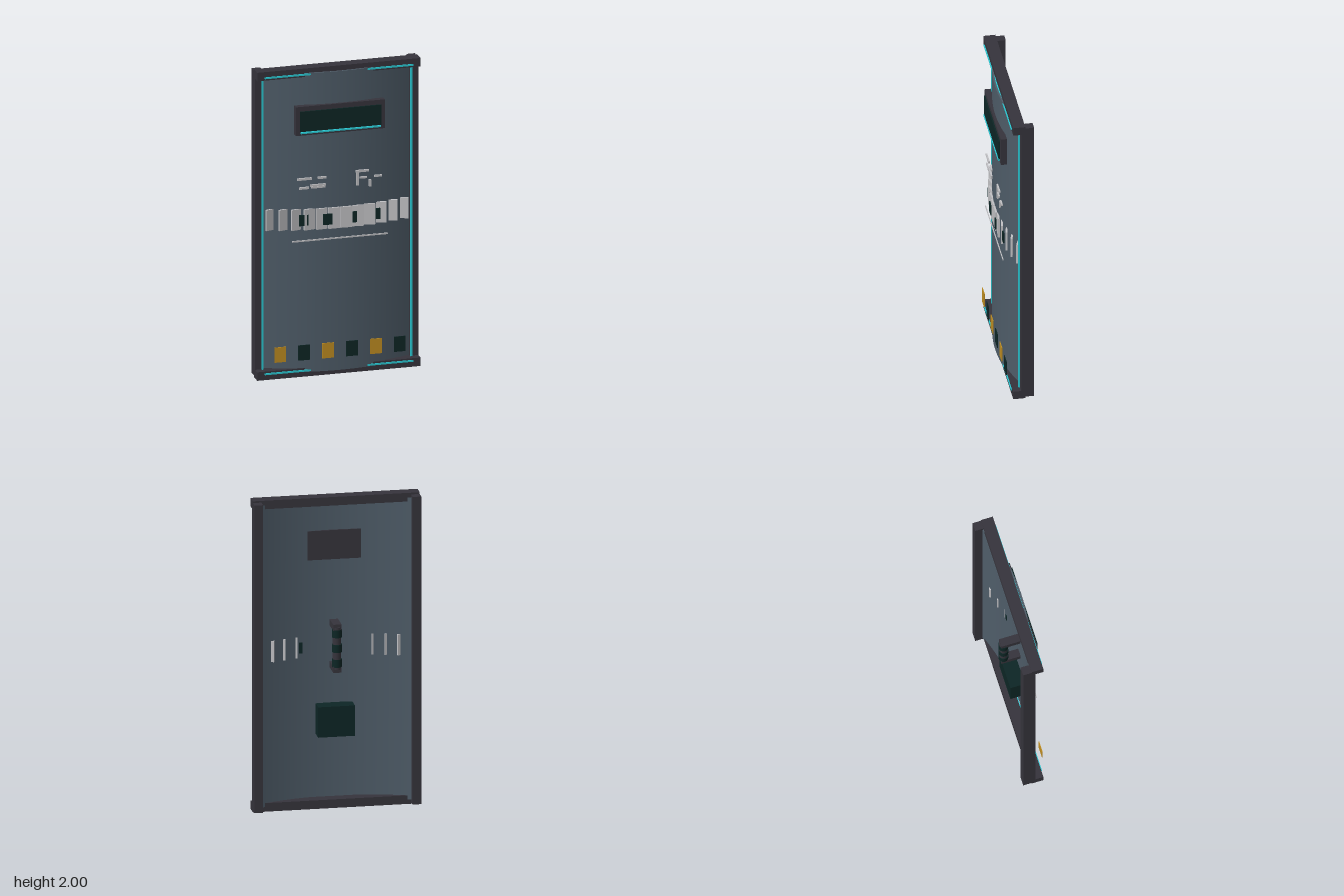
import * as THREE from 'three';

const paint = (name, color) => {
  const m = new THREE.MeshStandardMaterial({ color });
  m.name = name;
  return m;
};

export function createModel() {
  const root = new THREE.Group();
  root.name = 'shield';
  const slate = paint('slate', 0x4f5d69);
  const charcoal = paint('charcoal', 0x36343c);
  const darkGreen = paint('dark green', 0x0d2625);
  const cyan = paint('cyan', 0x2acbd6);
  const pale = paint('pale grey', 0xc2c2c5);
  const amber = paint('amber', 0xc08e22);

  const add = (name, geo, mat, x = 0, y = 0, z = 0) => {
    const mesh = new THREE.Mesh(geo, mat);
    mesh.name = name;
    mesh.position.set(x, y, z);
    root.add(mesh);
    return mesh;
  };
  // Box given by its extents on each axis
  const slab = (name, mat, [x0, x1], [y0, y1], [z0, z1]) =>
    add(name, new THREE.BoxGeometry(x1 - x0, y1 - y0, z1 - z0), mat,
      (x0 + x1) / 2, (y0 + y1) / 2, (z0 + z1) / 2);

  // Curved panel: bulges toward the front
  const curve = 0.42;
  const surface = (x) => 0.06 - curve * x * x;
  const panel = new THREE.BoxGeometry(0.96, 1.94, 0.011, 24, 1, 1);
  const p = panel.attributes.position;
  for (let i = 0; i < p.count; i++) {
    p.setZ(i, p.getZ(i) - 0.0055 + surface(p.getX(i)));
  }
  panel.computeVertexNormals();
  add('curvedPanel', panel, slate, 0, 1, 0);

  // Edge posts, end bars and their light strips
  for (const s of [-1, 1]) {
    add('sidePost', new THREE.BoxGeometry(0.054, 1.978, 0.08), charcoal, s * 0.495, 1, -0.05);
    add('sideLight', new THREE.BoxGeometry(0.011, 1.93, 0.012), cyan, s * 0.475, 1, -0.005);
    add('endBar', new THREE.BoxGeometry(1.044, 0.055, 0.075), charcoal, 0, 1 + s * 0.9725, 0.0025);
    add('endLight', new THREE.BoxGeometry(0.95, 0.011, 0.008), cyan, 0, 1 + s * 0.961, 0.042);
  }

  // Viewing window
  slab('windowFrame', charcoal, [-0.285, 0.285], [1.578, 1.765], [0.037, 0.075]);
  slab('windowGlass', darkGreen, [-0.26, 0.26], [1.605, 1.735], [0.07, 0.084]);
  slab('windowLight', cyan, [-0.257, 0.257], [1.592, 1.601], [0.07, 0.088]);

  // Band of angled tiles across the middle
  for (let i = 0; i < 12; i++) {
    const x = (i - 5.5) * 0.0765;
    const tile = add('bandTile', new THREE.BoxGeometry(0.073, 0.135, 0.012), pale,
      x, 1.0225, surface(x) + 0.006);
    tile.rotation.y = -Math.atan(2 * curve * x);
  }

  // Dark insets on the band
  for (const [x, w] of [[-0.23, 0.058], [-0.081, 0.058], [0.092, 0.028], [0.245, 0.03]]) {
    add('bandInset', new THREE.BoxGeometry(w, 0.07, 0.008), darkGreen, x, 1.02, surface(x) + 0.018);
  }
  add('insetBack', new THREE.BoxGeometry(0.022, 0.07, 0.012), darkGreen, 0.21, 1.02, surface(0.21) - 0.009);

  // Small raised marks above the band: x, y, width, height
  const marks = [
    [-0.228, 1.291, 0.092, 0.014], [-0.115, 1.291, 0.052, 0.014],
    [-0.23, 1.232, 0.062, 0.014], [-0.142, 1.245, 0.1, 0.012], [-0.14, 1.232, 0.09, 0.012],
    [0.143, 1.311, 0.085, 0.014], [0.112, 1.265, 0.016, 0.09],
    [0.15, 1.268, 0.045, 0.012], [0.192, 1.228, 0.014, 0.045], [0.243, 1.27, 0.05, 0.012],
  ];
  for (const [x, y, w, h] of marks) {
    add('raisedMark', new THREE.BoxGeometry(w, h, 0.01), pale, x, y, 0.065);
  }

  // Thin line below the band
  add('thinLine', new THREE.BoxGeometry(0.61, 0.009, 0.005), pale, 0, 0.89, 0.065);

  // Row of bottom tabs
  for (let i = 0; i < 6; i++) {
    add('bottomTab', new THREE.BoxGeometry(0.074, 0.098, 0.005), i % 2 ? darkGreen : amber,
      (i - 2.5) * 0.153, 0.165, 0.065);
  }

  // Rear handle with brackets and grip bands
  for (const y of [0.9, 1.17]) {
    slab('handleBracket', charcoal, [-0.026, 0.026], [y - 0.02, y + 0.02], [-0.075, 0.055]);
  }
  add('handleGrip', new THREE.CylinderGeometry(0.027, 0.027, 0.27, 16), charcoal, 0, 1.035, -0.055);
  for (const y of [0.94, 1.035, 1.13]) {
    add('gripBand', new THREE.CylinderGeometry(0.031, 0.031, 0.05, 16), darkGreen, 0, y, -0.055);
  }

  // Rear equipment box
  slab('rearBox', darkGreen, [-0.115, 0.115], [0.46, 0.655], [-0.045, 0.05]);

  return root;
}
